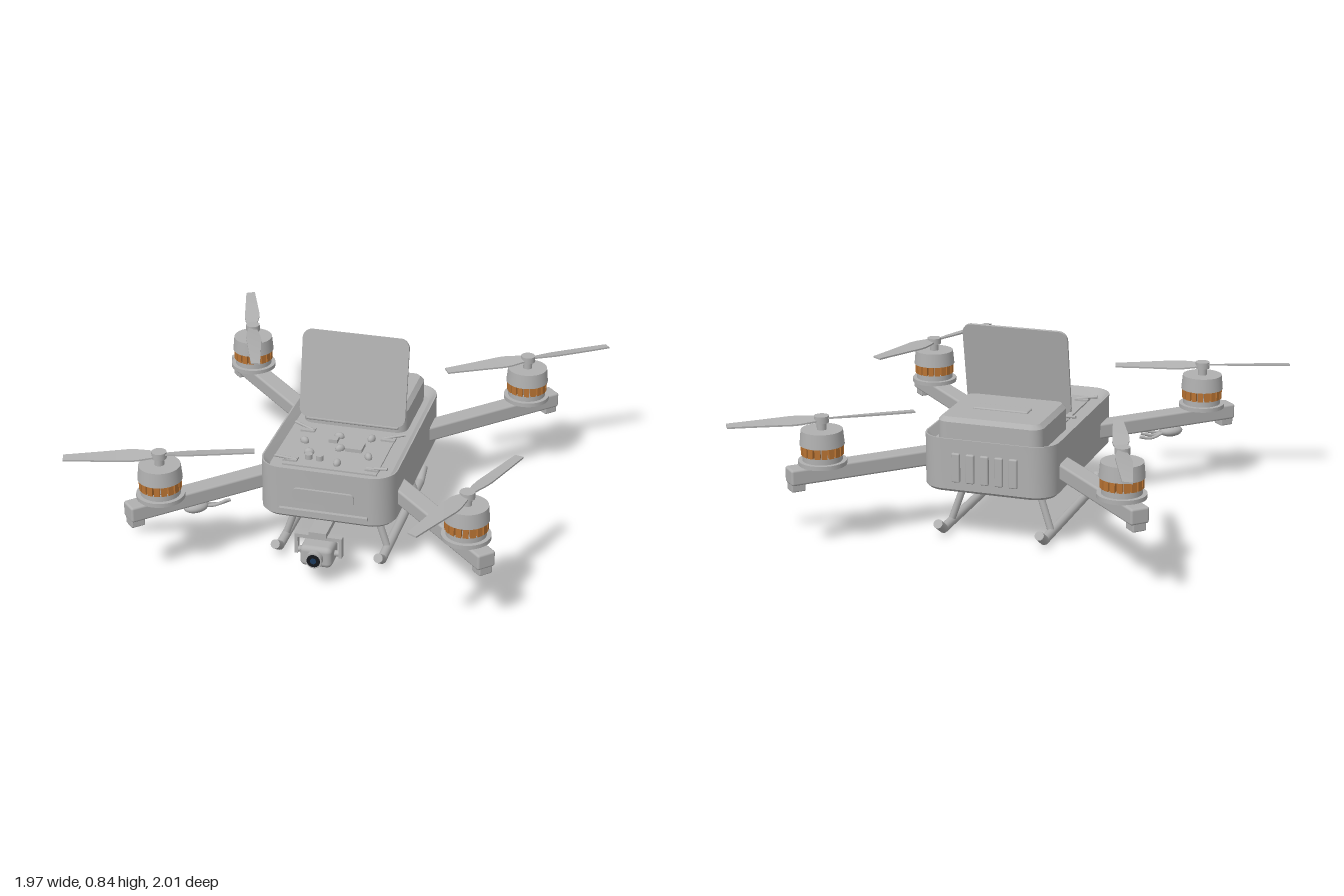
import * as THREE from 'three';
import { toCreasedNormals } from 'three/addons/utils/BufferGeometryUtils.js';
import { RoundedBoxGeometry } from 'three/addons/geometries/RoundedBoxGeometry.js';

const grey = new THREE.MeshStandardMaterial({ color: 0xb0b0b0 });
grey.name = 'shell grey';
const copper = new THREE.MeshStandardMaterial({ color: 0xb87333 });
copper.name = 'winding copper';
const black = new THREE.MeshStandardMaterial({ color: 0x15181c });
black.name = 'lens black';
const blue = new THREE.MeshStandardMaterial({ color: 0x1c3a5c });
blue.name = 'lens blue';

function add(parent, name, geometry, x = 0, y = 0, z = 0, material = grey) {
  const mesh = new THREE.Mesh(geometry, material);
  mesh.name = name;
  mesh.position.set(x, y, z);
  parent.add(mesh);
  return mesh;
}
const box = (w, h, d) => new THREE.BoxGeometry(w, h, d);
const rbox = (w, h, d, r, s = 2) => new RoundedBoxGeometry(w, h, d, s, r);
const cyl = (r, h, n = 32, r2 = r) => new THREE.CylinderGeometry(r, r2, h, n);

// Straight rod between two points
function rod(parent, name, a, b, r) {
  const p = new THREE.Vector3(...a), q = new THREE.Vector3(...b);
  const m = add(parent, name, cyl(r, p.distanceTo(q), 14));
  m.position.copy(p).add(q).multiplyScalar(0.5);
  m.quaternion.setFromUnitVectors(new THREE.Vector3(0, 1, 0), q.sub(p).normalize());
  return m;
}

// Stacked rounded rectangles, capped at both ends; each level is [inset, y]
function rectLoft(w, d, r, levels) {
  const rings = levels.map(([inset, y]) => {
    const rr = Math.max(r - inset, 0.01), pts = [];
    for (let c = 0; c < 4; c++) {
      const sx = c === 0 || c === 3 ? 1 : -1, sz = c < 2 ? 1 : -1;
      for (let i = 0; i <= 8; i++) {
        const a = (c + i / 8) * Math.PI / 2;
        pts.push([sx * (w / 2 - inset - rr) + rr * Math.cos(a), y, sz * (d / 2 - inset - rr) + rr * Math.sin(a)]);
      }
    }
    return pts;
  });
  const pos = [], n = rings[0].length, last = rings.length - 1;
  for (let j = 0; j < n; j++) {
    const k = (j + 1) % n;
    for (let i = 0; i < last; i++) {
      const a = rings[i][j], b = rings[i][k], c = rings[i + 1][k], e = rings[i + 1][j];
      pos.push(...a, ...e, ...c, ...a, ...c, ...b);
    }
    pos.push(0, levels[0][1], 0, ...rings[0][j], ...rings[0][k]);
    pos.push(0, levels[last][1], 0, ...rings[last][k], ...rings[last][j]);
  }
  const g = new THREE.BufferGeometry();
  g.setAttribute('position', new THREE.Float32BufferAttribute(pos, 3));
  return toCreasedNormals(g, 0.6);
}

// Rounded plate lying in the xy plane
function plate(w, h, r, t) {
  const s = new THREE.Shape(), x = w / 2, y = h / 2;
  s.absarc(x - r, y - r, r, 0, Math.PI / 2);
  s.absarc(-x + r, y - r, r, Math.PI / 2, Math.PI);
  s.absarc(-x + r, -y + r, r, Math.PI, Math.PI * 1.5);
  s.absarc(x - r, -y + r, r, Math.PI * 1.5, Math.PI * 2);
  return new THREE.ExtrudeGeometry(s, { depth: t, bevelEnabled: false, curveSegments: 8 });
}

// Tapered, twisted propeller blade running along +x
function bladeGeometry() {
  const g = new THREE.BoxGeometry(0.37, 0.007, 1, 10, 1, 1).translate(0.2, 0, 0);
  const p = g.attributes.position;
  for (let i = 0; i < p.count; i++) {
    const t = (p.getX(i) - 0.015) / 0.37;
    const width = t < 0.25 ? 0.035 + 0.14 * t : 0.07 - 0.04 * (t - 0.25);
    const z = p.getZ(i) * width;
    p.setZ(i, z);
    p.setY(i, p.getY(i) + z * (0.3 - 0.2 * t));
  }
  g.computeVertexNormals();
  return g;
}

function buildRotor(parent, x, z, angle) {
  const motor = new THREE.Group();
  motor.name = 'motor';
  motor.position.set(x, 0, z);
  parent.add(motor);
  add(motor, 'motorBase', cyl(0.1, 0.018), 0, 0.364, 0);
  add(motor, 'motorFoot', cyl(0.082, 0.03), 0, 0.386, 0);
  add(motor, 'stator', cyl(0.074, 0.06), 0, 0.42, 0);
  for (let i = 0; i < 18; i++) {
    const a = i / 18 * Math.PI * 2;
    const coil = add(motor, 'winding', box(0.022, 0.042, 0.023), Math.cos(a) * 0.076, 0.419, Math.sin(a) * 0.076, copper);
    coil.rotation.y = -a;
  }
  add(motor, 'motorBell', cyl(0.086, 0.062, 32, 0.092), 0, 0.471, 0);
  add(motor, 'shaft', cyl(0.02, 0.04, 16), 0, 0.52, 0);
  const propeller = new THREE.Group();
  propeller.name = 'propeller';
  propeller.position.y = 0.546;
  propeller.rotation.y = angle;
  motor.add(propeller);
  add(propeller, 'hub', cyl(0.031, 0.028, 20));
  const blade = bladeGeometry();
  for (const turn of [0, Math.PI]) add(propeller, 'blade', blade).rotation.y = turn;
}

export function createModel() {
  const root = new THREE.Group();
  const drone = new THREE.Group();
  drone.name = 'drone';
  drone.position.x = 0.018;
  root.add(drone);

  // Open-topped hull, battery cover and raised lid
  add(drone, 'hull', rectLoft(0.575, 0.897, 0.1, [[0.012, 0.224], [0, 0.236], [0, 0.453], [0.006, 0.453], [0.034, 0.42]]));
  add(drone, 'batteryCover', rectLoft(0.456, 0.38, 0.05, [[0, 0.42], [0, 0.512], [0.018, 0.53]]), 0, 0, -0.22);
  add(drone, 'coverGrip', rbox(0.24, 0.014, 0.065, 0.006), 0, 0.53, -0.225);
  add(drone, 'lid', plate(0.462, 0.385, 0.04, 0.012).translate(0, 0.1925, -0.006), 0, 0.462, -0.004).rotation.x = -0.182;
  rod(drone, 'lidHinge', [-0.2, 0.455, -0.01], [0.2, 0.455, -0.01], 0.009);

  // Hull front panel, front strip and rear vents
  add(drone, 'frontPanel', plate(0.26, 0.06, 0.02, 0.02), 0, 0.34, 0.44);
  add(drone, 'frontStrip', box(0.375, 0.014, 0.03), 0, 0.266, 0.45);
  for (let i = -2; i <= 2; i++) add(drone, 'rearVent', rbox(0.036, 0.125, 0.03, 0.006), i * 0.062, 0.333, -0.446);

  // Circuit board with chips, capacitors and corner leads
  add(drone, 'circuitBoard', box(0.4, 0.008, 0.36), 0, 0.423, 0.185);
  add(drone, 'chip', box(0.07, 0.018, 0.07), 0.06, 0.434, 0.165);
  add(drone, 'chip', box(0.037, 0.018, 0.034), -0.044, 0.434, 0.125);
  const lumps = [[-0.031, 0.085], [0.106, 0.074], [-0.163, 0.158], [0, 0.19], [0.133, 0.232], [-0.116, 0.253], [0.022, 0.317]];
  lumps.forEach(([x, z], i) => {
    const m = add(drone, 'solderLump', new THREE.SphereGeometry(0.02, 12, 8), x, 0.433, z);
    m.scale.set(1.1, 0.9, 0.8);
    m.rotation.y = i * 1.3;
  });
  for (const x of [-0.105, -0.058]) add(drone, 'capacitor', cyl(0.016, 0.026, 16), x, 0.436, 0.297);
  for (const s of [-1, 1]) for (const z of [0.055, 0.325]) {
    add(drone, 'leadPad', box(0.06, 0.01, 0.035), s * 0.175, 0.43, z);
    rod(drone, 'lead', [s * 0.15, 0.432, z + 0.003], [s * 0.24, 0.445, z + (z < 0.2 ? -0.03 : 0.012)], 0.006);
  }

  // Four arms with end feet, motors and propellers
  const angles = { '-1,-1': [-23, -67], '1,-1': [59, -40], '-1,1': [-68, 24], '1,1': [25, -66] };
  for (const sx of [-1, 1]) for (const sz of [-1, 1]) {
    const arm = new THREE.Group();
    arm.name = 'arm';
    arm.rotation.y = Math.atan2(-sz, sx);
    drone.add(arm);
    add(arm, 'armBeam', rbox(0.75, 0.068, 0.082, 0.01), 0.673, 0.322, 0);
    add(arm, 'armFoot', rbox(0.06, 0.04, 0.06, 0.006), 1.015, 0.278, 0);
    const [dx, dz] = angles[`${sx},${sz}`];
    buildRotor(drone, sx * 0.635, sz * 0.635, Math.atan2(-dz, dx));
  }

  // Landing skids
  for (const s of [-1, 1]) {
    const x = s * 0.222;
    const path = new THREE.CurvePath();
    const pts = [[-0.41, 0.062], [-0.345, 0.02], [0.345, 0.02], [0.41, 0.062]].map(([z, y]) => new THREE.Vector3(x, y, z));
    for (let i = 0; i < 3; i++) {
      rod(drone, 'skid', pts[i].toArray(), pts[i + 1].toArray(), 0.02);
      if (i) add(drone, 'skidJoint', new THREE.SphereGeometry(0.02, 14, 10), ...pts[i].toArray());
    }
    for (const z of [-1, 1]) rod(drone, 'strut', [s * 0.15, 0.235, z * 0.235], [x, 0.025, z * 0.25], 0.015);
  }

  // Camera on its hanging yoke
  const camera = new THREE.Group();
  camera.name = 'camera';
  drone.add(camera);
  add(camera, 'mountPlate', box(0.075, 0.022, 0.14), 0, 0.214, 0.475);
  add(camera, 'yokeBar', box(0.2, 0.016, 0.026), 0, 0.196, 0.522);
  for (const s of [-1, 1]) {
    add(camera, 'yokeArm', box(0.014, 0.085, 0.026), s * 0.093, 0.155, 0.522);
    rod(camera, 'pivot', [s * 0.06, 0.128, 0.522], [s * 0.098, 0.128, 0.522], 0.013);
  }
  add(camera, 'cameraBody', rbox(0.136, 0.092, 0.115, 0.022, 3), 0, 0.127, 0.523);
  add(camera, 'lensBarrel', cyl(0.035, 0.03, 24), 0, 0.128, 0.59).rotation.x = Math.PI / 2;
  add(camera, 'lens', cyl(0.028, 0.006, 24), 0, 0.128, 0.605, black).rotation.x = Math.PI / 2;
  add(camera, 'lensGlass', cyl(0.013, 0.004, 20), 0, 0.128, 0.608, blue).rotation.x = Math.PI / 2;

  // Pod with loose leads beneath one front arm
  const pod = add(drone, 'pod', new THREE.SphereGeometry(0.05, 16, 12), -0.525, 0.264, 0.525);
  pod.scale.set(1.1, 0.5, 0.8);
  pod.rotation.y = Math.PI / 4;
  for (const d of [-0.02, 0, 0.02]) {
    const curve = new THREE.CatmullRomCurve3([
      new THREE.Vector3(-0.5, 0.262, 0.5 + d * 0.5),
      new THREE.Vector3(-0.455, 0.252 + d * 0.4, 0.47 + d),
      new THREE.Vector3(-0.41, 0.264 + d * 0.5, 0.44 + d),
    ]);
    add(drone, 'podLead', new THREE.TubeGeometry(curve, 10, 0.007, 8));
  }
  return root;
}
